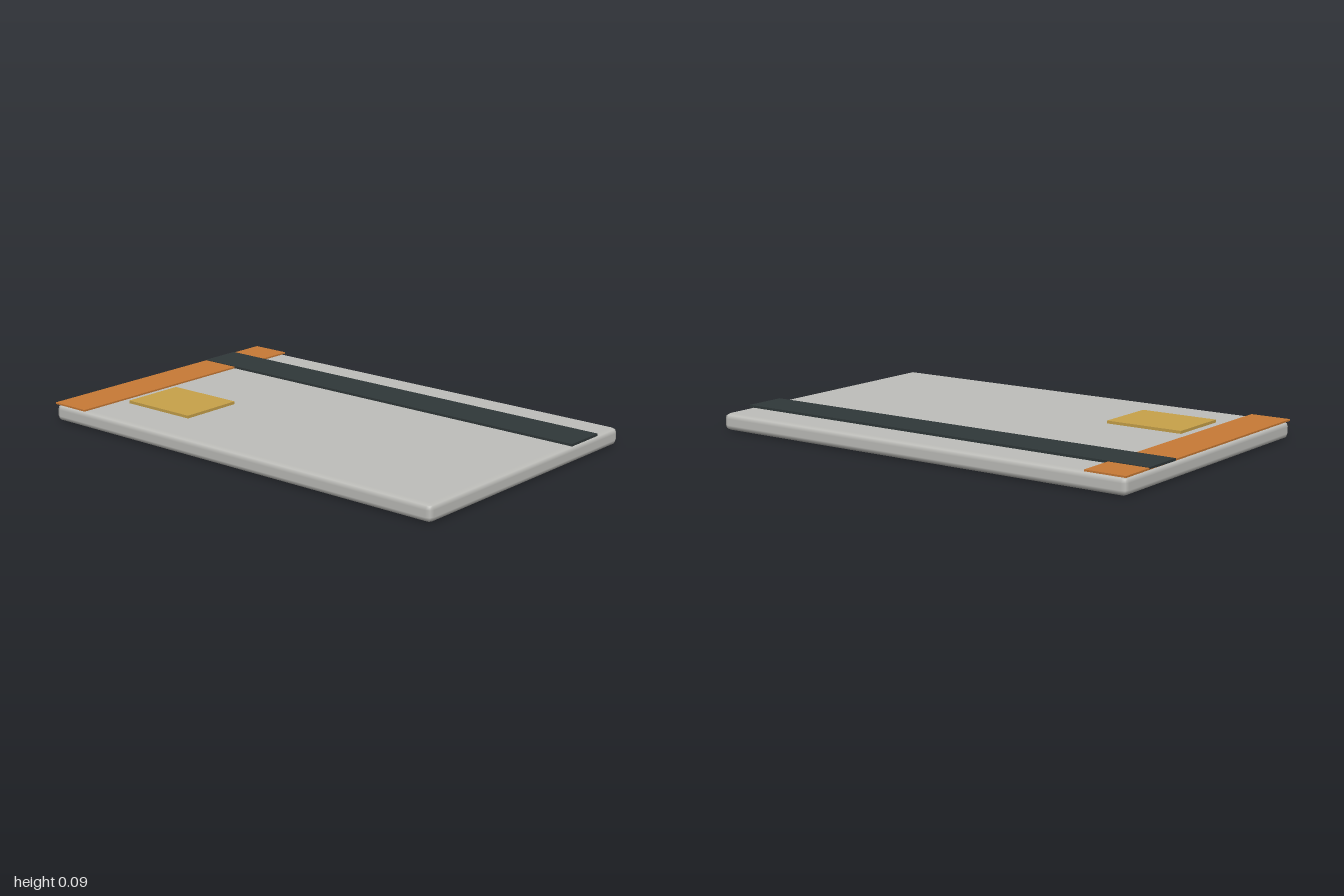
import * as THREE from 'three';
import { RoundedBoxGeometry } from 'three/addons/geometries/RoundedBoxGeometry.js';

const mat = (name, color) => {
  const m = new THREE.MeshStandardMaterial({ color });
  m.name = name;
  return m;
};

export function createModel() {
  const group = new THREE.Group();
  group.name = 'card';
  const grey = mat('pale grey', 0xbfbfbb);
  const orange = mat('orange', 0xc87a36);
  const dark = mat('dark slate', 0x303839);
  const gold = mat('gold', 0xc8a24a);

  // Card body with softened edges
  const thickness = 0.073;
  const body = new THREE.Mesh(new RoundedBoxGeometry(2, thickness, 1.26, 1, 0.023), grey);
  body.name = 'cardBody';
  body.position.y = thickness / 2;
  group.add(body);

  // Thin plates lying on the top face
  const plate = (name, material, x0, x1, z0, z1, top) => {
    const h = top - thickness;
    const mesh = new THREE.Mesh(new THREE.BoxGeometry(x1 - x0, h, z1 - z0), material);
    mesh.name = name;
    mesh.position.set((x0 + x1) / 2, thickness + h / 2, (z0 + z1) / 2);
    group.add(mesh);
  };
  plate('edgeBand', orange, -1, -0.82, -0.63, 0.63, 0.08);
  plate('magneticStripe', dark, -1, 1, -0.47, -0.285, 0.083);
  plate('chip', gold, -0.77, -0.42, 0.14, 0.42, 0.085);

  return group;
}
